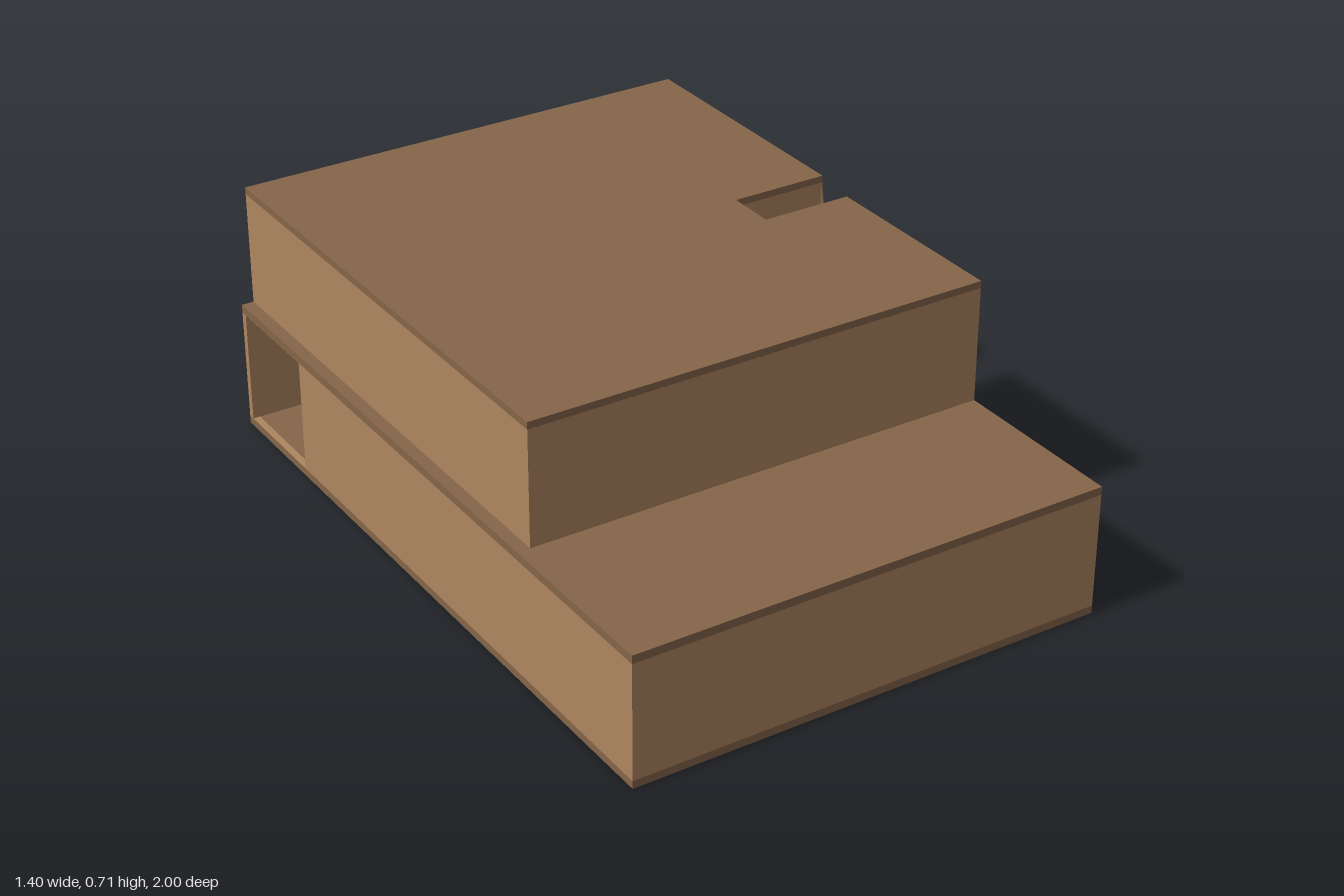
import * as THREE from 'three';

const T = 0.02; // wall thickness
const paint = (color, side = THREE.FrontSide) => new THREE.MeshStandardMaterial({ color, side, flatShading: true });

export function createModel() {
  const model = new THREE.Group();
  const wallMat = paint(0xae8660);
  const deckMat = paint(0x856549);
  const underMat = paint(0x4e3b2c);

  const add = (parent, name, geometry, material) => {
    const mesh = new THREE.Mesh(geometry, material);
    mesh.name = name;
    parent.add(mesh);
    return mesh;
  };

  // Box given by its limits
  const block = (parent, name, [x0, x1], [y0, y1], [z0, z1], material) => {
    const mesh = add(parent, name, new THREE.BoxGeometry(x1 - x0, y1 - y0, z1 - z0), material);
    mesh.position.set((x0 + x1) / 2, (y0 + y1) / 2, (z0 + z1) / 2);
    return mesh;
  };

  // Footprint with the side notch, as [x, z] corners
  const footprint = (left, front) => [
    [left, front], [0.66, front], [0.66, -0.09], [0.4, -0.09],
    [0.4, -0.23], [0.68, -0.23], [0.68, -1], [left, -1],
  ];
  const lower = footprint(-0.7, 1);
  const upper = footprint(-0.665, 0.49);

  // Horizontal slab over a footprint
  const slab = (name, outline, y0, y1, material) => {
    const shape = new THREE.Shape(outline.map(([x, z]) => new THREE.Vector2(x, -z)));
    const geometry = new THREE.ExtrudeGeometry(shape, { depth: y1 - y0, bevelEnabled: false });
    geometry.rotateX(-Math.PI / 2);
    add(model, name, geometry, material).position.y = y0;
  };

  // Upright wall from p to q, outside face on the line, with rectangular holes [u0, u1, y0, y1]
  const wall = (parent, name, p, q, y0, y1, holes = []) => {
    const dx = q[0] - p[0], dz = q[1] - p[1];
    const rect = (u0, u1, v0, v1) => [[u0, v0], [u1, v0], [u1, v1], [u0, v1]].map((c) => new THREE.Vector2(...c));
    const shape = new THREE.Shape(rect(0, Math.hypot(dx, dz), y0, y1));
    holes.forEach((h) => shape.holes.push(new THREE.Path(rect(...h).reverse())));
    const geometry = new THREE.ExtrudeGeometry(shape, { depth: T, bevelEnabled: false });
    geometry.translate(0, 0, -T);
    const mesh = add(parent, name, geometry, wallMat);
    mesh.position.set(p[0], 0, p[1]);
    mesh.rotation.y = Math.atan2(-dz, dx);
  };

  const storey = (name, outline, y0, y1, openings = {}) => {
    const group = new THREE.Group();
    group.name = name;
    outline.forEach((p, i) => {
      wall(group, 'outerWall', p, outline[(i + 1) % outline.length], y0, y1, openings[i]);
    });
    model.add(group);
  };

  // Floors and roof
  slab('groundDeck', lower, 0.017, 0.022, deckMat);
  slab('groundDeckUnderside', lower.map(([x, z]) => [x * 0.998, z * 0.998]), 0.0155, 0.017, underMat);
  slab('upperFloorAndTerrace', lower, 0.347, 0.37, deckMat);
  slab('flatRoof', upper, 0.695, 0.715, deckMat);

  // Walls: window beside the notch, porch opening at the back of the far side
  storey('lowerStorey', lower, 0.022, 0.347, {
    5: [[0.008, 0.16, 0.038, 0.292]],
    7: [[0.015, 0.34, 0.0225, 0.3465]],
  });
  storey('upperStorey', upper, 0.37, 0.695);

  // Rim boards round the ground floor
  lower.forEach((p, i) => {
    const q = lower[(i + 1) % lower.length];
    const dx = q[0] - p[0], dz = q[1] - p[1], len = Math.hypot(dx, dz);
    const geometry = new THREE.BoxGeometry(len, 0.017, 0.008);
    geometry.translate(len / 2, 0.0085, -0.004);
    const rim = add(model, 'rimBoard', geometry, deckMat);
    rim.position.set(p[0], 0, p[1]);
    rim.rotation.y = Math.atan2(-dz, dx);
  });

  // Floor joists across the width, stopping at the notch
  const joists = new THREE.Group();
  joists.name = 'floorJoists';
  model.add(joists);
  for (let i = 1; i < 40; i++) {
    const z = -1 + i * 0.05;
    const end = z > -0.235 && z < -0.085 ? 0.395 : 0.655;
    block(joists, 'joist', [-0.695, end], [0.001, 0.016], [z - 0.005, z + 0.005], deckMat);
  }
  // Blocking rows between joists
  for (let i = 1; i < 9; i++) {
    const x = -0.7 + i * 0.15;
    const spans = x > 0.39 ? [[-0.995, -0.235], [-0.085, 0.995]] : [[-0.995, 0.995]];
    spans.forEach((s) => block(joists, 'blocking', [x - 0.005, x + 0.005], [0.002, 0.016], s, deckMat));
  }

  // Side window: frame bars, sill and the room behind it
  const sideWindow = new THREE.Group();
  sideWindow.name = 'sideWindow';
  model.add(sideWindow);
  [-0.242, -0.286, -0.343, -0.386].forEach((z) => {
    block(sideWindow, 'mullion', [0.664, 0.676], [0.038, 0.292], [z - 0.004, z + 0.004], wallMat);
  });
  [0.205, 0.288].forEach((y) => {
    block(sideWindow, 'crossBar', [0.665, 0.675], [y - 0.004, y + 0.004], [-0.39, -0.238], wallMat);
  });
  block(sideWindow, 'sill', [0.655, 0.696], [0.034, 0.04], [-0.39, -0.238], wallMat);
  block(sideWindow, 'latch', [0.676, 0.682], [0.042, 0.068], [-0.338, -0.332], deckMat);
  block(model, 'innerPartition', [0.4, 0.42], [0.022, 0.347], [-0.98, -0.23], wallMat);

  // Porch: glazed side partition and plain end partition
  const porch = new THREE.Group();
  porch.name = 'porch';
  model.add(porch);
  wall(porch, 'glazedPartition', [-0.4, -0.66], [-0.69, -0.66], 0.022, 0.347, [[0.03, 0.26, 0.04, 0.3]]);
  [-0.48, -0.54, -0.6, -0.645].forEach((x) => {
    block(porch, 'mullion', [x - 0.004, x + 0.004], [0.04, 0.3], [-0.656, -0.644], wallMat);
  });
  block(porch, 'crossBar', [-0.66, -0.43], [0.196, 0.204], [-0.655, -0.645], wallMat);
  block(porch, 'endPartition', [-0.42, -0.4], [0.022, 0.347], [-0.98, -0.64], wallMat);

  // Tapering screen fin beside the notch
  const fin = new THREE.Shape([[0.23, 0.372], [0.23, 0.697], [0.17, 0.372]].map((c) => new THREE.Vector2(...c)));
  const finGeometry = new THREE.ExtrudeGeometry(fin, { depth: 0.004, bevelEnabled: false });
  finGeometry.rotateY(Math.PI / 2);
  add(model, 'taperedFin', finGeometry, deckMat).position.x = 0.676;

  return model;
}
